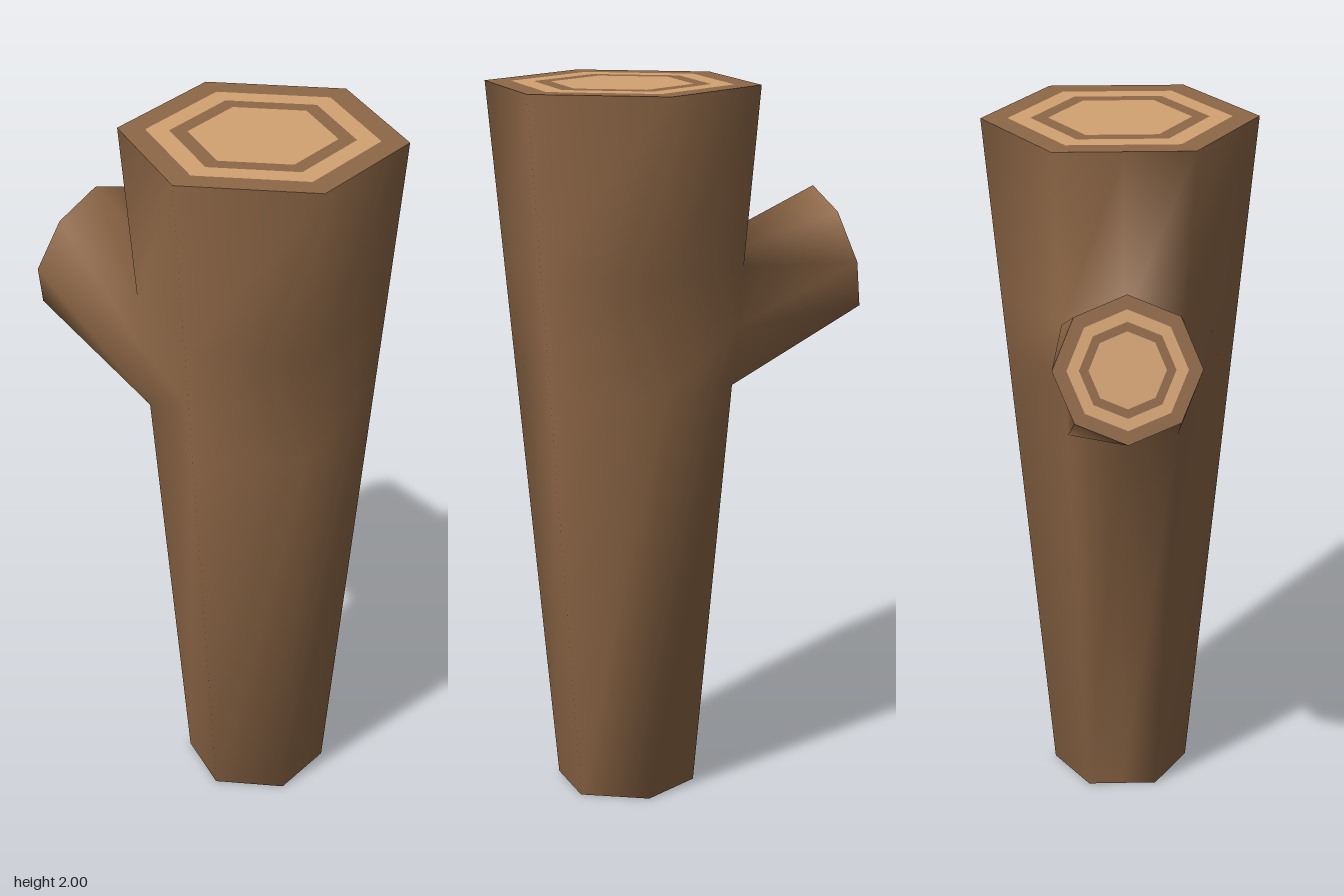
import * as THREE from 'three';

const bark = new THREE.MeshStandardMaterial({ color: 0x8f6847 });
const wood = new THREE.MeshStandardMaterial({ color: 0xd4a373 });

// Cut face with growth rings, lying in the local xy plane
function cutFace(name, radius, sides) {
  const group = new THREE.Group();
  group.name = name;
  const steps = [1, 0.806, 0.642, 0.516, 0];
  for (let i = 0; i < 4; i++) {
    const outer = radius * steps[i], inner = radius * steps[i + 1];
    const geo = inner > 0
      ? new THREE.RingGeometry(inner, outer, sides, 1, Math.PI / 2)
      : new THREE.CircleGeometry(outer, sides, Math.PI / 2);
    const mesh = new THREE.Mesh(geo, i % 2 ? wood : bark);
    mesh.name = ['barkRim', 'outerWood', 'growthRing', 'heartwood'][i];
    group.add(mesh);
  }
  return group;
}

export function createModel() {
  const model = new THREE.Group();
  model.name = 'log';
  const cx = 0.17, bottomR = 0.197, topR = 0.382, branchR = 0.197;
  const levels = [0, 1.17, 1.335, 1.505, 2];
  const cols = 7;
  const positions = [], indices = [];
  const quad = (a, b, c, d) => indices.push(a, b, c, a, c, d);
  const at = (row, col) => row * cols + (col % cols);

  // Trunk rings: a hexagon with one extra point in the middle of the branch side
  for (const y of levels) {
    const r = THREE.MathUtils.lerp(bottomR, topR, y / 2);
    for (const deg of [0, 60, 120, 180, 240, 270, 300]) {
      const a = THREE.MathUtils.degToRad(deg);
      const rr = deg === 270 ? r * Math.cos(Math.PI / 6) : r;
      positions.push(cx + rr * Math.sin(a), y, rr * Math.cos(a));
    }
  }

  // Trunk walls, leaving an opening where the branch grows out
  for (let row = 0; row < levels.length - 1; row++) {
    for (let col = 0; col < cols; col++) {
      const opening = (row === 1 || row === 2) && (col === 4 || col === 5);
      if (!opening) quad(at(row, col), at(row, col + 1), at(row + 1, col + 1), at(row + 1, col));
    }
  }

  // Underside
  for (let col = 1; col < cols - 1; col++) indices.push(0, col + 1, col);

  // Branch frame: local z points out of the cut end
  const up = new THREE.Vector3(0.1, 0.38, 0).normalize();
  const side = new THREE.Vector3(0, 0, 1);
  const out = new THREE.Vector3().crossVectors(side, up);
  const frame = new THREE.Matrix4().makeBasis(side, up, out).setPosition(-0.45, 1.5, 0);

  // Branch: joins the opening to an octagonal end
  const base = [at(1, 5), at(1, 6), at(2, 6), at(3, 6), at(3, 5), at(3, 4), at(2, 4), at(1, 4)];
  const first = positions.length / 3;
  for (let k = 0; k < 8; k++) {
    const a = -Math.PI / 2 + (k * Math.PI) / 4;
    const p = new THREE.Vector3(branchR * Math.cos(a), branchR * Math.sin(a), 0).applyMatrix4(frame);
    positions.push(p.x, p.y, p.z);
  }
  for (let k = 0; k < 8; k++) {
    const n = (k + 1) % 8;
    quad(base[k], base[n], first + n, first + k);
  }

  const geo = new THREE.BufferGeometry();
  geo.setAttribute('position', new THREE.Float32BufferAttribute(positions, 3));
  geo.setIndex(indices);
  geo.computeVertexNormals();
  const body = new THREE.Mesh(geo, bark);
  body.name = 'trunkAndBranch';
  model.add(body);

  // Cut ends
  const trunkCut = cutFace('trunkCut', topR, 6);
  trunkCut.rotation.x = -Math.PI / 2;
  trunkCut.position.set(cx, 2, 0);
  const branchCut = cutFace('branchCut', branchR, 8);
  branchCut.applyMatrix4(frame);
  model.add(trunkCut, branchCut);
  return model;
}
